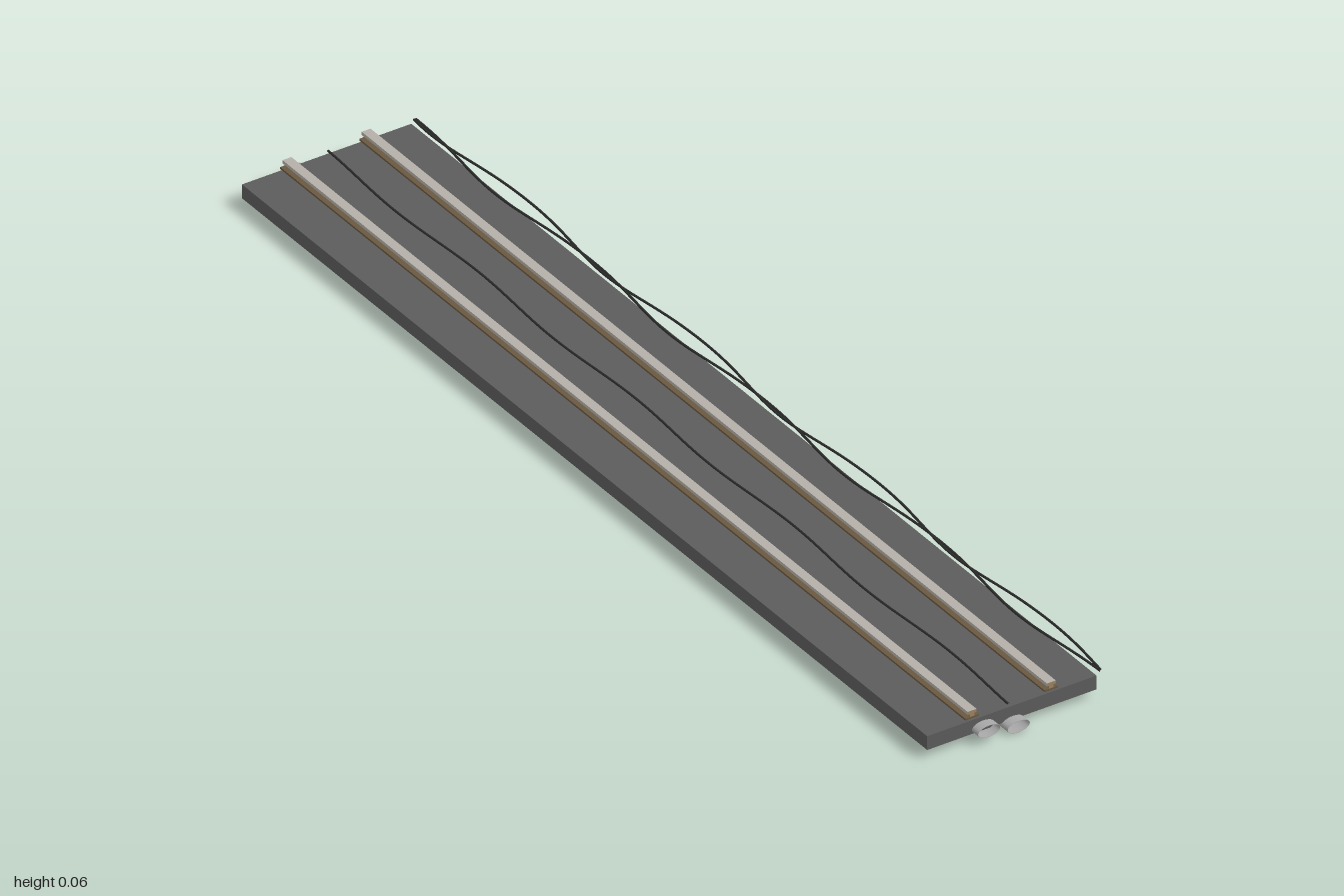
import * as THREE from 'three';

const mat = (name, color, side = THREE.FrontSide) => {
  const m = new THREE.MeshStandardMaterial({ color, side });
  m.name = name;
  return m;
};

export function createModel() {
  const group = new THREE.Group();
  group.name = 'trackSection';
  const concrete = mat('darkConcrete', 0x5c5c5c);
  const steel = mat('polishedSteel', 0xb4b0a8);
  const rust = mat('rustySteel', 0x9a8260);
  const baseRust = mat('darkRust', 0x6a5840);
  const pipeGrey = mat('pipeGrey', 0xa8a8a8, THREE.DoubleSide);
  const rubber = mat('cableRubber', 0x2c2c2c);

  const add = (parent, name, geometry, material, x = 0, y = 0, z = 0) => {
    const mesh = new THREE.Mesh(geometry, material);
    mesh.name = name;
    mesh.position.set(x, y, z);
    parent.add(mesh);
    return mesh;
  };
  const LENGTH = 1.965;

  // Track bed
  add(group, 'trackBed', new THREE.BoxGeometry(0.324, 0.026, LENGTH), concrete, -0.013, 0.028, 0);

  // Two rails: flange, web, and a steel head with rusty end faces
  const headMaterials = [steel, steel, steel, steel, rust, rust];
  [['rightRail', -0.089], ['leftRail', 0.0625]].forEach(([name, x]) => {
    const rail = new THREE.Group();
    rail.name = name;
    rail.position.x = x;
    add(rail, 'railFlange', new THREE.BoxGeometry(0.026, 0.0035, LENGTH), baseRust, 0, 0.0463, 0);
    add(rail, 'railWeb', new THREE.BoxGeometry(0.009, 0.006, LENGTH), rust, 0, 0.051, 0);
    add(rail, 'railHead', new THREE.BoxGeometry(0.017, 0.0058, LENGTH), headMaterials, 0, 0.0565, 0);
    group.add(rail);
  });

  // Open oval drain pipes running the full length below the bed
  [['upperPipe', -0.068, 0.0223], ['lowerPipe', -0.0115, 0.0108]].forEach(([name, x, y]) => {
    const shape = new THREE.Shape().absellipse(0, 0, 0.0213, 0.0108, 0, Math.PI * 2);
    shape.holes.push(new THREE.Path().absellipse(0, 0, 0.0206, 0.0101, 0, Math.PI * 2));
    const geometry = new THREE.ExtrudeGeometry(shape, { depth: 2, bevelEnabled: false, curveSegments: 16 });
    add(group, name, geometry, pipeGrey, x, y, -1);
  });

  // Loose wavy cables lying along the track
  const cable = (name, x, y, swing, lift, period, peak, radius) => {
    const points = [];
    for (let i = 0; i <= 80; i++) {
      const z = LENGTH * (i / 80 - 0.5);
      const a = ((z - peak) / period) * Math.PI * 2;
      points.push(new THREE.Vector3(x + swing * Math.cos(a), y + lift * Math.sin(a) ** 2, z));
    }
    const path = new THREE.CatmullRomCurve3(points);
    add(group, name, new THREE.TubeGeometry(path, 200, radius, 6), rubber);
  };
  cable('centreCable', -0.015, 0.0463, 0.005, 0, 0.45, -0.1, 0.002);
  cable('outerCable', 0.162, 0.0465, 0.01, 0.002, 0.5, -0.18, 0.0022);
  cable('innerCable', 0.149, 0.0465, 0.009, 0.0015, 0.5, 0.02, 0.0022);

  return group;
}
